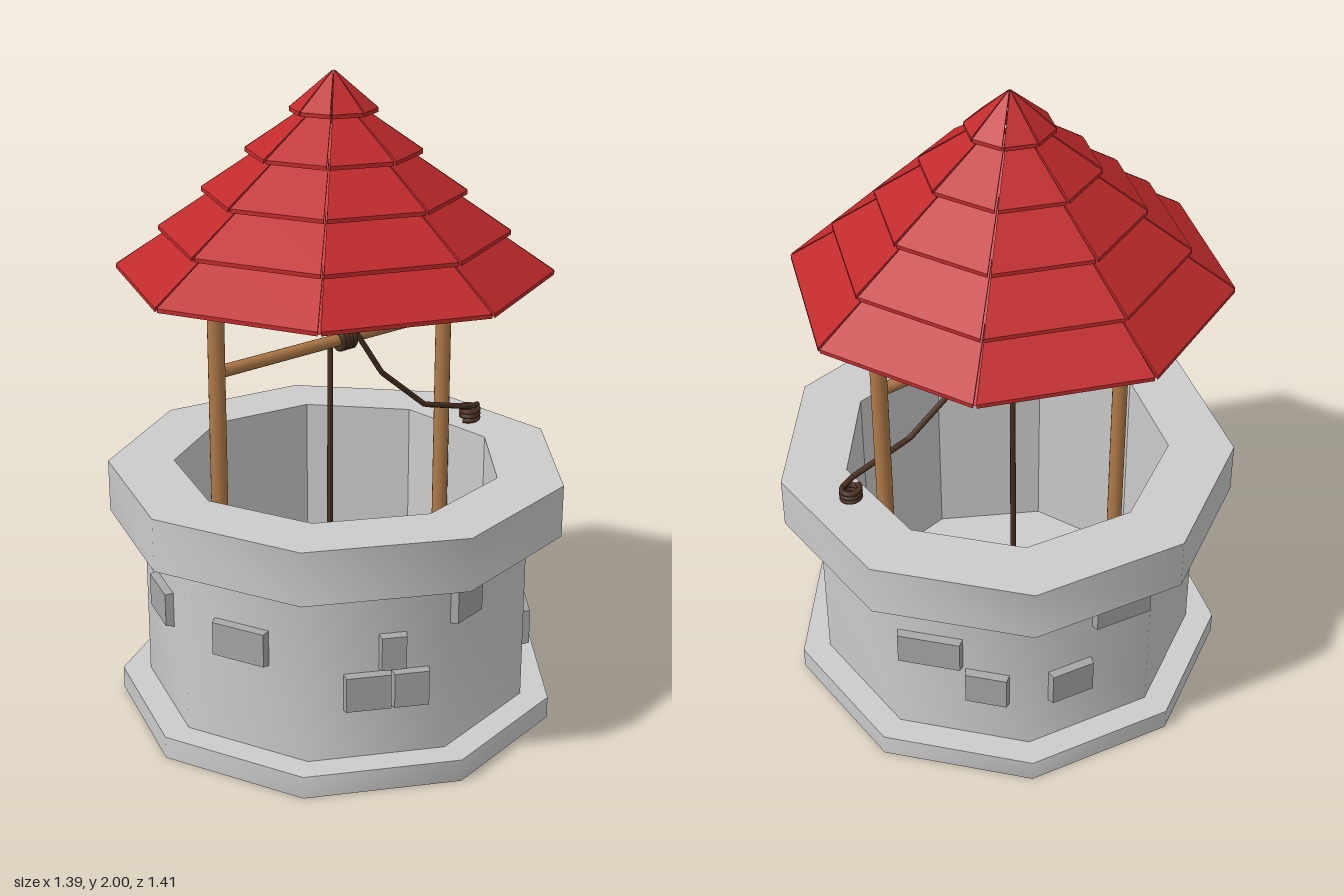
import * as THREE from 'three';
import { toCreasedNormals } from 'three/addons/utils/BufferGeometryUtils.js';
import { ConvexGeometry } from 'three/addons/geometries/ConvexGeometry.js';

const material = (color) => new THREE.MeshStandardMaterial({ color });
const grey = material(0xcccccc);
const darkStone = material(0xa6a6a6);
const red = material(0xc02a2c);
const wood = material(0xb07a48);
const ropeBrown = material(0x4a3020);

const CENTER_X = 0.017; // the nine-sided well sits slightly off the roof axis
const rad = THREE.MathUtils.degToRad;

function addMesh(parent, name, geometry, mat, x = 0, y = 0, z = 0) {
  const mesh = new THREE.Mesh(geometry, mat);
  mesh.name = name;
  mesh.position.set(x, y, z);
  parent.add(mesh);
  return mesh;
}

// Nine-sided ring from a [radius, height] profile, with a corner on -x
function nineSided(profile, crease) {
  const points = profile.map(([r, y]) => new THREE.Vector2(r, y));
  return toCreasedNormals(new THREE.LatheGeometry(points, 9, -Math.PI / 2), crease);
}

// Tube along straight segments or a smooth curve
function rope(points, smooth, segments) {
  const vectors = points.map((p) => new THREE.Vector3(...p));
  let curve;
  if (smooth) {
    curve = new THREE.CatmullRomCurve3(vectors);
  } else {
    curve = new THREE.CurvePath();
    for (let i = 1; i < vectors.length; i++) curve.add(new THREE.LineCurve3(vectors[i - 1], vectors[i]));
  }
  return new THREE.TubeGeometry(curve, segments, 0.009, 8);
}

function helix(turns, radius, length) {
  const points = [];
  for (let i = 0; i <= turns * 12; i++) {
    const a = (i / 12) * Math.PI * 2;
    points.push([length * i / (turns * 12), radius * Math.cos(a), radius * Math.sin(a)]);
  }
  return points;
}

function buildWell() {
  const well = new THREE.Group();
  well.name = 'well';
  well.position.x = CENTER_X;
  const base = new THREE.CylinderGeometry(0.695, 0.695, 0.07, 9, 1, false, -Math.PI / 2);
  addMesh(well, 'base', toCreasedNormals(base, 0.8), grey, 0, 0.035, 0);
  addMesh(well, 'wall', nineSided([[0.607, 0.06], [0.607, 0.63]], 0.8), grey);
  addMesh(well, 'rim', nineSided([[0.6, 0.625], [0.715, 0.625], [0.715, 0.79], [0.51, 0.79]], 0.8), grey);
  addMesh(well, 'lining', nineSided([[0.51, 0.79], [0.51, 0.065]], 0.1), grey);

  // Raised stones: face angle, offset along the face, height, width, tallness
  const stones = [
    [80, 0.128, 0.543, 0.14, 0.145],
    [120, -0.044, 0.41, 0.09, 0.12],
    [120, 0.031, 0.288, 0.15, 0.125],
    [120, -0.098, 0.288, 0.12, 0.125],
    [160, 0.012, 0.41, 0.19, 0.12],
    [200, 0, 0.41, 0.18, 0.12],
    [40, 0.11, 0.288, 0.16, 0.125],
    [-40, 0.1, 0.41, 0.21, 0.12],
    [-40, -0.077, 0.288, 0.145, 0.125],
    [-80, 0.07, 0.288, 0.155, 0.125],
    [-80, -0.1, 0.543, 0.2, 0.145],
  ];
  for (const [deg, t, y, w, h] of stones) {
    const a = rad(deg);
    const apothem = 0.607 * Math.cos(rad(20));
    // Front face is drawn in a little for a chamfered look
    const geometry = new THREE.BoxGeometry(w, h, 0.05);
    const p = geometry.attributes.position;
    for (let i = 0; i < p.count; i++) {
      if (p.getZ(i) > 0) p.setXY(i, p.getX(i) * (1 - 0.016 / w), p.getY(i) * (1 - 0.016 / h));
    }
    geometry.computeVertexNormals();
    const stone = addMesh(well, 'raisedStone', geometry, darkStone,
      apothem * Math.cos(a) - t * Math.sin(a), y, apothem * Math.sin(a) + t * Math.cos(a));
    stone.rotation.y = Math.PI / 2 - a;
  }
  return well;
}

function buildRoof() {
  const roof = new THREE.Group();
  roof.name = 'roof';
  const core = new THREE.ConeGeometry(0.65, 0.448, 8).toNonIndexed();
  core.computeVertexNormals();
  addMesh(roof, 'roofCore', core, red, 0, 1.626, 0);

  // Five overlapping tiers of eight slabs, with narrow gaps along the ridges
  for (let tier = 0; tier < 5; tier++) {
    const rLow = 0.132 * (tier + 1);
    const yLow = 2 - 0.12 * (tier + 1);
    const rHigh = tier === 0 ? 0.004 : 0.132 * tier - 0.06;
    const yHigh = tier === 0 ? 1.988 : yLow + (rLow - rHigh) * 0.675;
    const points = [];
    for (const [r, y, gap] of [[rLow, yLow, 0.005], [rHigh, yHigh, 0.0015]]) {
      const half = r * Math.sin(Math.PI / 8) - gap * (tier ? 1 : 0.6);
      const out = r * Math.cos(Math.PI / 8);
      for (const side of [-1, 1]) {
        for (const lift of [0, 0.012]) points.push(new THREE.Vector3(side * Math.max(half, 0.0005), y + lift, out));
      }
    }
    const slab = new ConvexGeometry(points);
    for (let i = 0; i < 8; i++) {
      addMesh(roof, 'roofSlab', slab, red).rotation.y = (i + 0.5) * Math.PI / 4;
    }
  }
  return roof;
}

function buildRope() {
  const group = new THREE.Group();
  group.name = 'rope';
  addMesh(group, 'windingOnBar', rope(helix(4, 0.028, 0.06), true, 120), ropeBrown, 0.01, 1.18, 0.005);
  addMesh(group, 'hangingRope', rope([[0.006, 1.19, -0.022], [0.003, 0.08, -0.022]], false, 1), ropeBrown);
  addMesh(group, 'slackRope', rope([[0.07, 1.205, 0.015], [0.165, 1.05, 0.04], [0.335, 0.91, 0.06],
    [0.54, 0.855, 0.066], [0.59, 0.848, 0.05]], false, 40), ropeBrown);
  const coil = addMesh(group, 'coilOnRim', rope(helix(3, 0.027, 0.044), true, 90), ropeBrown, 0.565, 0.8, 0.04);
  coil.rotation.z = Math.PI / 2;
  return group;
}

export function createModel() {
  const model = new THREE.Group();
  model.name = 'wishingWell';
  model.add(buildWell(), buildRoof(), buildRope());

  // Two posts and the crossbar
  for (const x of [-0.455, 0.468]) {
    addMesh(model, 'post', new THREE.CylinderGeometry(0.025, 0.025, 1.34, 16), wood, x, 0.74, 0.005);
  }
  const bar = addMesh(model, 'crossbar', new THREE.CylinderGeometry(0.019, 0.019, 0.92, 16), wood, 0.007, 1.18, 0.005);
  bar.rotation.z = Math.PI / 2;
  return model;
}
